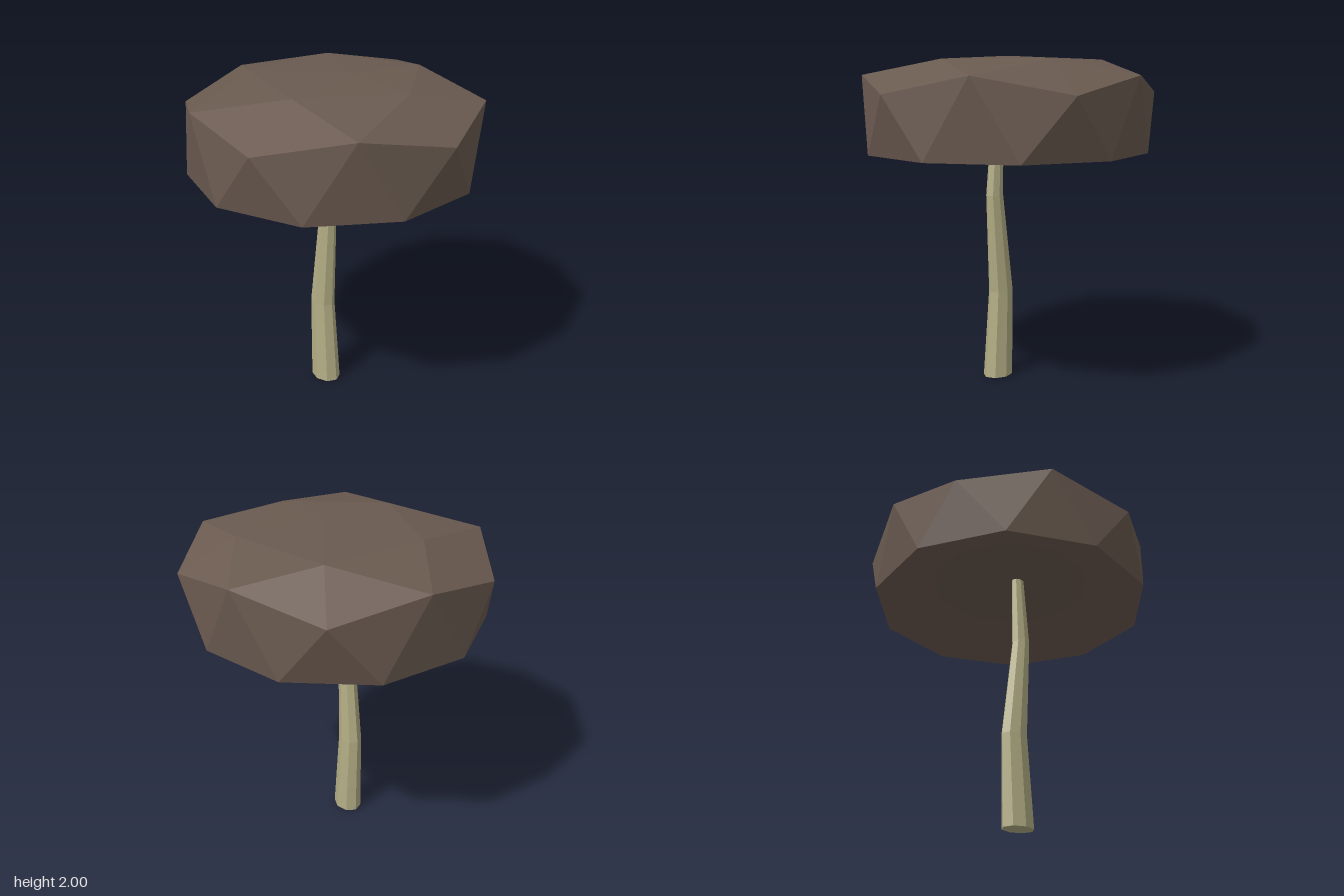
import * as THREE from 'three';

const capBrown = new THREE.MeshStandardMaterial({ color: 0x6a5a50 });
capBrown.name = 'capBrown';
const stemOlive = new THREE.MeshStandardMaterial({ color: 0xb3ae85 });
stemOlive.name = 'stemOlive';

// Split every face apart so each one gets its own flat normal
function faceted(geometry) {
  const flat = geometry.index ? geometry.toNonIndexed() : geometry;
  flat.computeVertexNormals();
  return flat;
}

// Points evenly spaced round a vertical axis
function ring(count, startDegrees, radius, y, cx, cz) {
  return Array.from({ length: count }, (_, i) => {
    const a = THREE.MathUtils.degToRad(startDegrees + (360 / count) * i);
    return [cx + radius * Math.cos(a), y, cz + radius * Math.sin(a)];
  });
}

// Cap: flattened half geodesic dome with a hollow underside
function buildCap() {
  const apex = [0.03, 2, -0.07];
  const crown = ring(5, 0, 0.53, 1.98, -0.03, -0.05);
  const low = ring(5, 0, 0.895, 1.79, -0.025, -0.005);
  const high = ring(5, 36, 0.854, 1.89, -0.021, 0);
  const shoulder = low.flatMap((p, i) => [p, high[i]]);
  const rim = ring(10, 18, 0.852, 1.44, -0.025, 0.01);
  const ceiling = ring(10, 18, 0.5, 1.6, -0.025, 0.01);
  const ceilingCentre = [-0.025, 1.6, 0.01];

  const points = [];
  const tri = (...corners) => points.push(...corners.flat());

  // Top faces
  for (let k = 0; k < 5; k++) {
    const c = crown[k], next = crown[(k + 1) % 5];
    const before = shoulder[(2 * k + 9) % 10];
    const here = shoulder[2 * k], after = shoulder[2 * k + 1];
    tri(apex, next, c);
    tri(c, next, after);
    tri(c, here, before);
    tri(c, after, here);
  }
  // Side band, underside slope and ceiling
  for (let j = 0; j < 10; j++) {
    const n = (j + 1) % 10;
    tri(shoulder[j], shoulder[n], rim[j]);
    tri(rim[j], shoulder[n], rim[n]);
    tri(rim[j], rim[n], ceiling[j]);
    tri(ceiling[j], rim[n], ceiling[n]);
    tri(ceilingCentre, ceiling[j], ceiling[n]);
  }

  const geometry = new THREE.BufferGeometry();
  geometry.setAttribute('position', new THREE.Float32BufferAttribute(points, 3));
  const cap = new THREE.Mesh(faceted(geometry), capBrown);
  cap.name = 'cap';
  return cap;
}

// Stem: eight-sided tapering shaft with two bends
function buildStem() {
  const sections = [
    { y: 0, x: -0.02, rx: 0.1, rz: 0.08 },
    { y: 0.55, x: -0.045, rx: 0.084, rz: 0.064 },
    { y: 1.16, x: 0.005, rx: 0.058, rz: 0.046 },
    { y: 1.6, x: -0.017, rx: 0.04, rz: 0.033 },
  ];
  const geometry = new THREE.CylinderGeometry(1, 1, 3, 8, 3);
  const pos = geometry.attributes.position;
  for (let i = 0; i < pos.count; i++) {
    const s = sections[Math.round(pos.getY(i) + 1.5)];
    pos.setXYZ(i, s.x + pos.getX(i) * s.rx, s.y, 0.08 + pos.getZ(i) * s.rz);
  }
  const stem = new THREE.Mesh(faceted(geometry), stemOlive);
  stem.name = 'stem';
  return stem;
}

export function createModel() {
  const mushroom = new THREE.Group();
  mushroom.name = 'mushroom';
  mushroom.add(buildCap(), buildStem());
  return mushroom;
}
